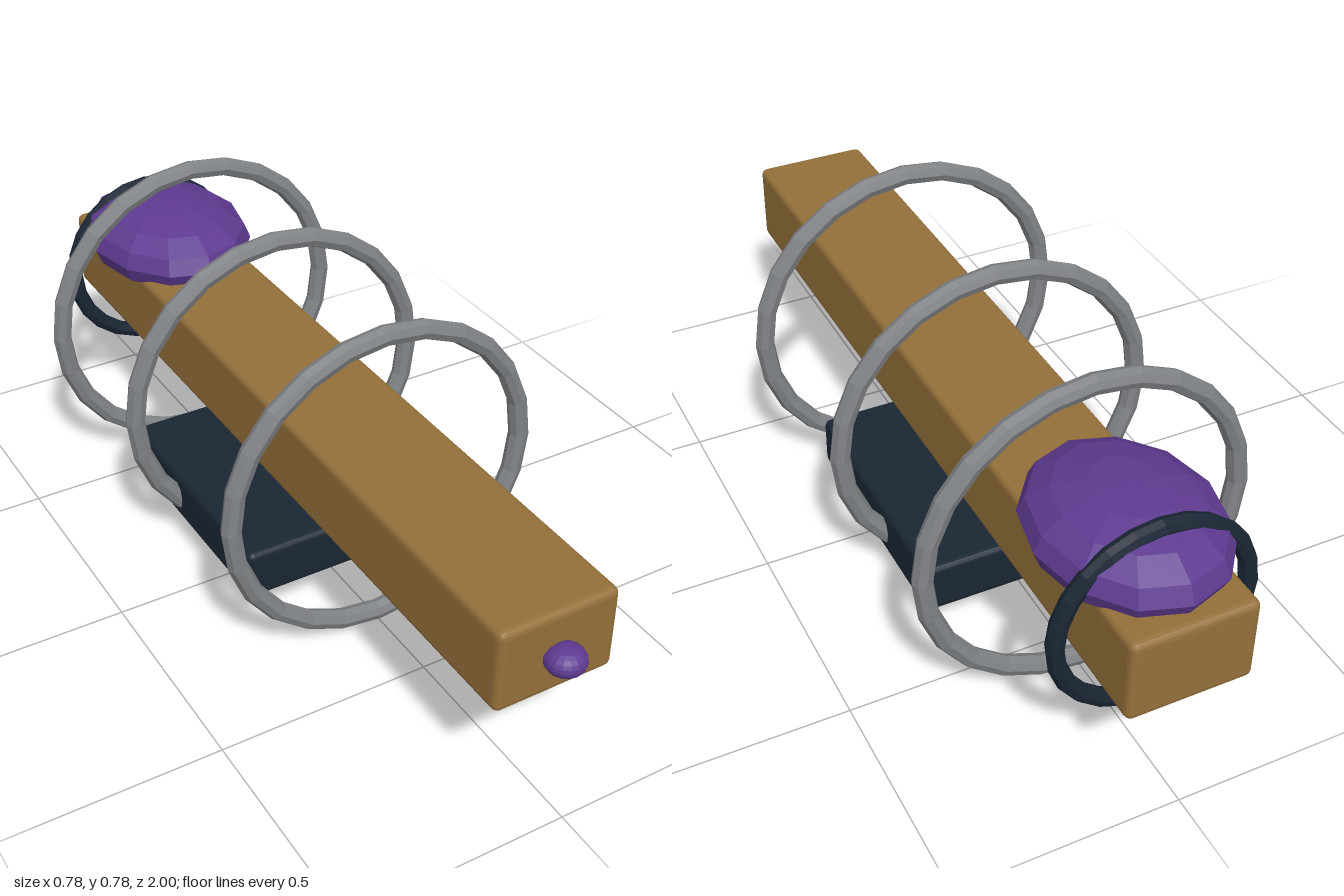
import * as THREE from 'three';
import { RoundedBoxGeometry } from 'three/addons/geometries/RoundedBoxGeometry.js';

const material = (color) => new THREE.MeshStandardMaterial({ color, flatShading: true });

export function createModel() {
  const model = new THREE.Group();
  const tan = material(0x94703a);
  const navy = material(0x1a2634);
  const purple = material(0x5e3a90);
  const steel = material(0x808386);
  const axisY = 0.392;

  const add = (name, geometry, mat, x, y, z) => {
    const mesh = new THREE.Mesh(geometry, mat);
    mesh.name = name;
    mesh.position.set(x, y, z);
    model.add(mesh);
    return mesh;
  };

  // Long central beam
  add('hullBeam', new RoundedBoxGeometry(0.28, 0.197, 1.935, 2, 0.016), tan, 0, axisY, -0.0325);

  // Slab slung underneath
  add('cargoSlab', new RoundedBoxGeometry(0.54, 0.122, 0.59, 2, 0.016), navy, 0, 0.151, -0.095);

  // Three large hoops around the beam
  [0.305, -0.16, -0.583].forEach((z, i) =>
    add(`hoop${i + 1}`, new THREE.TorusGeometry(0.365, 0.023, 8, 24), steel, 0, axisY, z));

  // Smaller hoop at the rear
  add('rearHoop', new THREE.TorusGeometry(0.215, 0.02, 8, 24), navy, 0, axisY, -0.85);

  // Faceted dome sunk into the top, near the rear
  add('dome', new THREE.SphereGeometry(1, 12, 8), purple, 0, 0.52, -0.73).scale.set(0.2, 0.1, 0.25);

  // Small knob on the nose
  add('noseKnob', new THREE.SphereGeometry(1, 16, 12), purple, 0, 0.391, 0.957).scale.set(0.044, 0.031, 0.043);

  return model;
}
